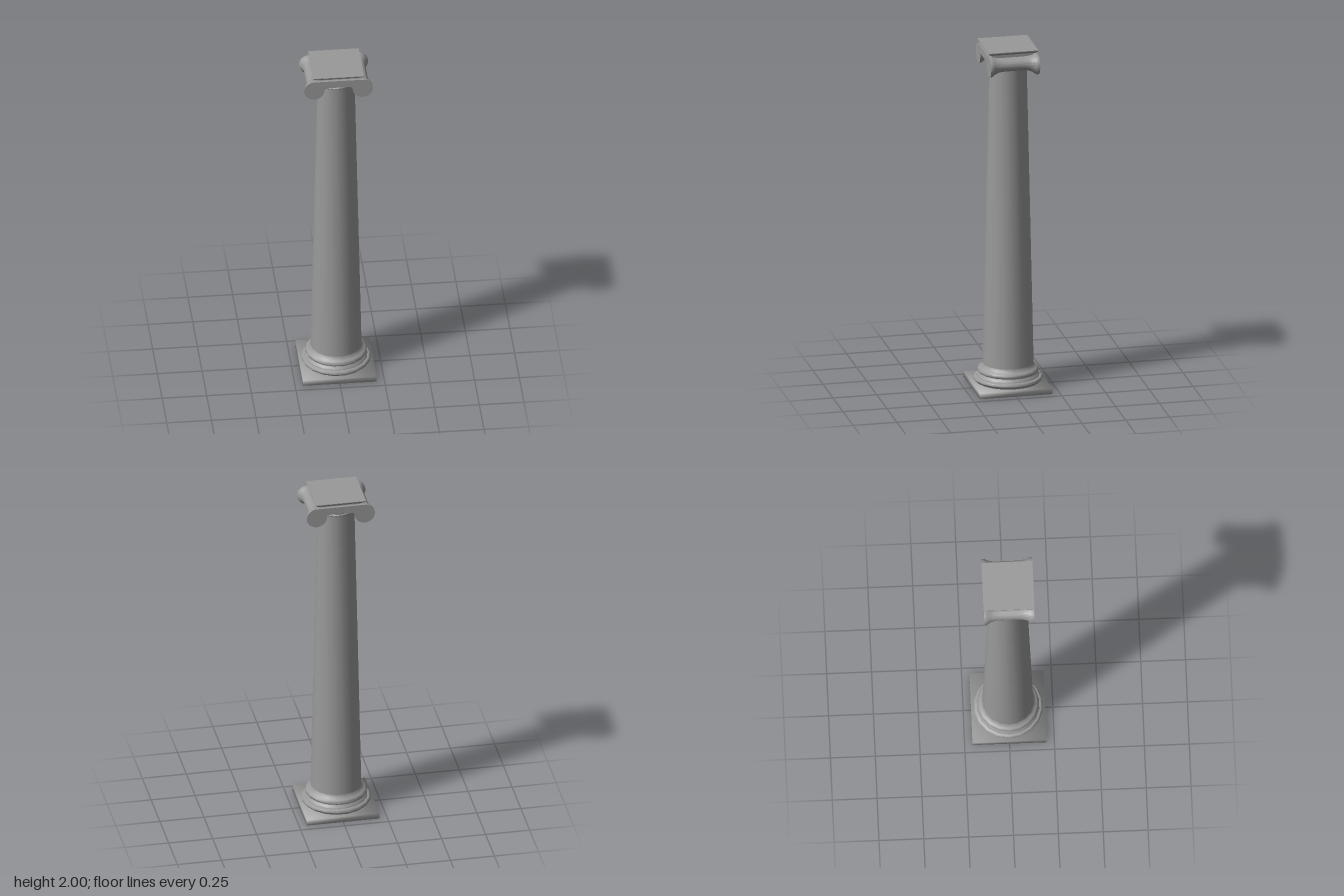
import * as THREE from 'three';
import { toCreasedNormals } from 'three/addons/utils/BufferGeometryUtils.js';

const material = new THREE.MeshStandardMaterial({ color: 0x999999 });

function addPart(group, name, geometry) {
  const mesh = new THREE.Mesh(geometry, material);
  mesh.name = name;
  group.add(mesh);
}

// Turned part from [radius, height] pairs, listed bottom to top.
function turned(profile, crease = 0.6, sides = 18, start = Math.PI / 2) {
  const points = profile.map(([r, y]) => new THREE.Vector2(r, y));
  return toCreasedNormals(new THREE.LatheGeometry(points, sides, start), crease);
}

// Square moulding from [half width, height] pairs.
function squareMoulding(profile) {
  return turned(profile.map(([w, y]) => [w * Math.SQRT2, y]), 0.6, 4, Math.PI / 4);
}

// Square slab shaded softly from corner to corner.
function softSlab(width, height) {
  const geometry = new THREE.BoxGeometry(width, height, width);
  const { position: p, normal: n } = geometry.attributes;
  const v = new THREE.Vector3();
  for (let i = 0; i < p.count; i++) {
    v.set(Math.sign(p.getX(i)), Math.sign(p.getY(i)), Math.sign(p.getZ(i))).normalize();
    n.setXYZ(i, v.x, v.y, v.z);
  }
  return geometry.translate(0, height / 2, 0);
}

// Scroll block: front outline extruded in depth, with the scrolls waisted midway.
function scrollBlock() {
  const cx = 0.136, cy = 1.918, r = 0.057, half = 0.14;
  const shape = new THREE.Shape();
  shape.moveTo(-cx, cy + r);
  shape.absarc(-cx, cy, r, Math.PI / 2, Math.PI * 2, false);
  shape.quadraticCurveTo(-0.077, 1.931, -0.058, 1.932);
  shape.lineTo(0.058, 1.932);
  shape.quadraticCurveTo(0.077, 1.931, cx - r, cy);
  shape.absarc(cx, cy, r, Math.PI, Math.PI * 2.5, false);
  shape.closePath();
  const geometry = new THREE.ExtrudeGeometry(shape, {
    depth: half * 2, steps: 28, bevelEnabled: false, curveSegments: 20,
  });
  geometry.translate(0, 0, -half);
  const p = geometry.attributes.position;
  for (let i = 0; i < p.count; i++) {
    const x = p.getX(i), y = p.getY(i);
    const t = Math.min(Math.abs(p.getZ(i)) / 0.125, 1) ** 5;
    const k = 0.64 + 0.36 * t;
    if (Math.abs(x) > 0.078) {
      const side = Math.sign(x) * cx;
      p.setX(i, side + (x - side) * k);
    }
    p.setY(i, cy + (y - cy) * k + 0.008 * (1 - t));
  }
  return toCreasedNormals(geometry, 0.7);
}

export function createModel() {
  const column = new THREE.Group();
  column.name = 'column';

  // Square foot slab
  addPart(column, 'plinth', softSlab(0.413, 0.034));

  // Two rounded rings with a hollow between them
  addPart(column, 'base', turned([
    [0.18, 0.033], [0.185, 0.042], [0.193, 0.046], [0.195, 0.053], [0.193, 0.06], [0.185, 0.065],
    [0.176, 0.067], [0.174, 0.074], [0.165, 0.08], [0.162, 0.087],
    [0.169, 0.091], [0.172, 0.1], [0.169, 0.109], [0.162, 0.114],
    [0.156, 0.118], [0.148, 0.125], [0.143, 0.138],
  ], 0.9));

  // Tapering shaft
  addPart(column, 'shaft', turned([[0.143, 0.13], [0.104, 1.893]]));

  // Ring and flaring cushion under the scrolls
  addPart(column, 'neckRings', turned([
    [0.104, 1.891], [0.108, 1.895], [0.108, 1.902], [0.104, 1.907],
    [0.107, 1.915], [0.114, 1.925], [0.118, 1.938],
  ]));

  addPart(column, 'scrolls', scrollBlock());

  // Square top slab with a flared edge
  addPart(column, 'abacus', squareMoulding([
    [0, 1.935], [0.118, 1.935], [0.118, 1.979], [0.127, 1.982], [0.134, 1.988],
    [0.142, 1.996], [0.142, 2], [0, 2],
  ]));

  return column;
}
